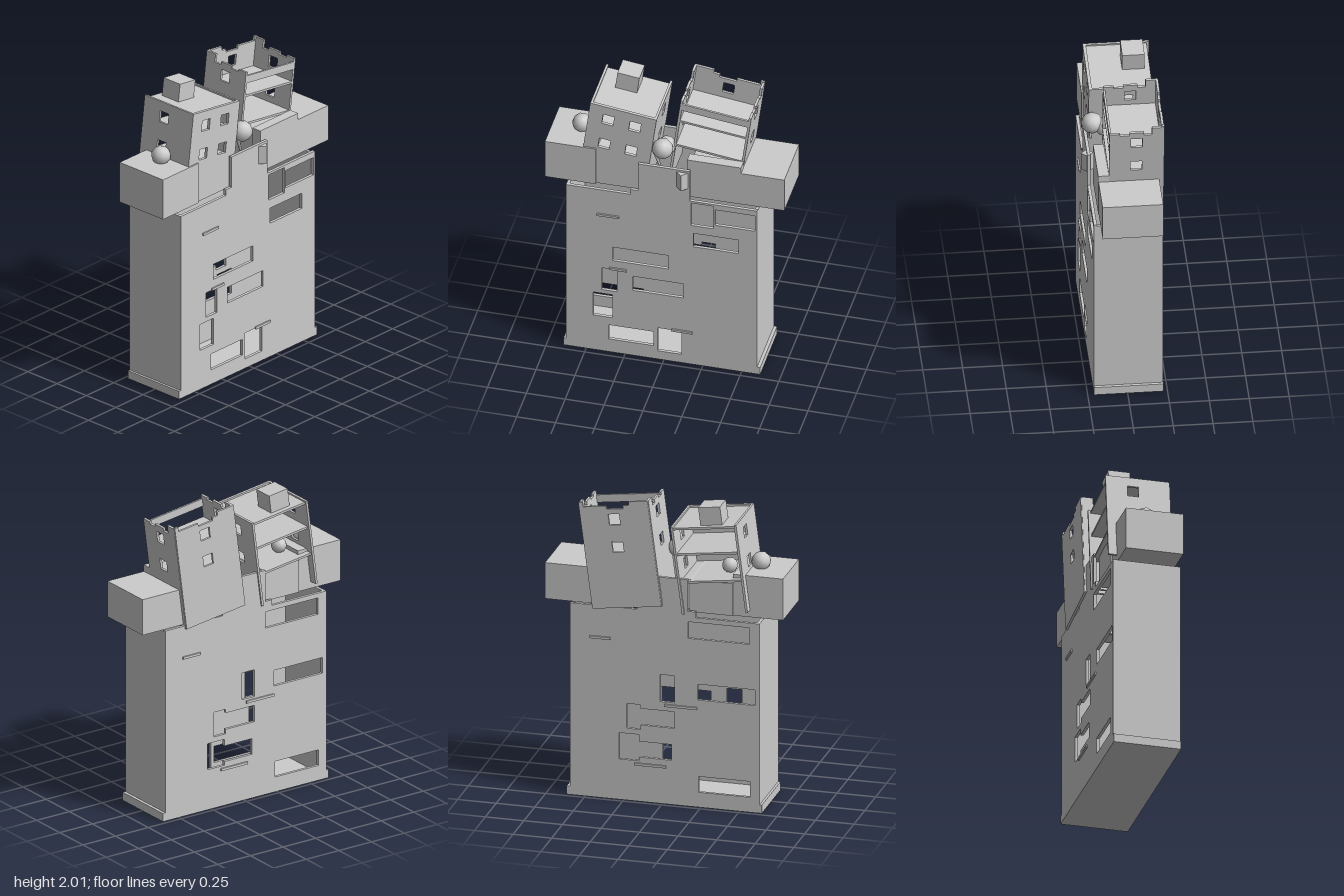
import * as THREE from 'three';

const stone = new THREE.MeshStandardMaterial({ color: 0xcccccc, side: THREE.DoubleSide });
stone.name = 'pale stone';

function add(parent, name, geometry, x = 0, y = 0, z = 0) {
  const mesh = new THREE.Mesh(geometry, stone);
  mesh.name = name;
  mesh.position.set(x, y, z);
  parent.add(mesh);
  return mesh;
}

// Box given by its extents
function block(parent, name, x0, x1, y0, y1, z0, z1) {
  return add(parent, name, new THREE.BoxGeometry(x1 - x0, y1 - y0, z1 - z0),
    (x0 + x1) / 2, (y0 + y1) / 2, (z0 + z1) / 2);
}

const points = (list) => list.map(([x, y]) => new THREE.Vector2(x, y));
const rect = ([x0, x1, y0, y1]) => [[x0, y0], [x1, y0], [x1, y1], [x0, y1]];

// Flat wall from an outline with openings, from z to z + thickness
function wall(parent, name, outline, holes, z, thickness) {
  const shape = new THREE.Shape(points(outline));
  for (const hole of holes) shape.holes.push(new THREE.Path(points(hole)));
  const geometry = new THREE.ExtrudeGeometry(shape, { depth: thickness, bevelEnabled: false });
  return add(parent, name, geometry, 0, 0, z);
}

// Side wall: drawn in (z, y), then turned to face sideways at x
function sideWall(parent, name, outline, holes, x, thickness) {
  const mesh = wall(parent, name, outline.map(([z, y]) => [-z, y]),
    holes.map((h) => h.map(([z, y]) => [-z, y])), 0, thickness);
  mesh.rotation.y = Math.PI / 2;
  mesh.position.set(x, 0, 0);
  return mesh;
}

const windowAt = (u, v, s = 0.036) => rect([u - s, u + s, v - s, v + s]);

function buildBody(model) {
  const body = new THREE.Group();
  body.name = 'body';
  model.add(body);

  // Front and back faces rise into a central gate
  const outline = [[-0.63, 0], [0.6, 0], [0.6, 1.28], [0.165, 1.28], [0.165, 1.51],
    [-0.165, 1.51], [-0.165, 1.3], [-0.215, 1.3], [-0.215, 1.262], [-0.63, 1.262]];
  const frontHoles = [
    [-0.33, 0.03, 0.72, 0.825], [-0.2, 0.125, 0.51, 0.62], [-0.355, -0.065, 0.1, 0.21],
    [-0.04, 0.115, 0.065, 0.245], [-0.4, -0.3, 0.48, 0.65], [-0.455, -0.33, 0.27, 0.45],
    [0.19, 0.48, 0.925, 1.03], [0.175, 0.32, 1.09, 1.265], [0.33, 0.585, 1.12, 1.24],
  ].map(rect);
  const backHoles = [
    [-0.565, -0.166, 1.12, 1.23], [-0.6, -0.23, 0.715, 0.82], [-0.57, -0.235, 0.1, 0.205],
    [-0.08, 0.015, 0.68, 0.86],
  ].map(rect);
  backHoles.push([[-0.08, 0.51], [0.14, 0.51], [0.14, 0.48], [0.23, 0.48], [0.23, 0.645],
    [0.14, 0.645], [0.14, 0.62], [-0.08, 0.62]]);
  backHoles.push([[-0.06, 0.295], [0.15, 0.295], [0.15, 0.27], [0.28, 0.27], [0.28, 0.445],
    [0.15, 0.445], [0.15, 0.4], [-0.06, 0.4]]);
  wall(body, 'front face', outline, frontHoles, 0.19, 0.02);
  wall(body, 'back face', outline, backHoles, -0.225, 0.02);

  block(body, 'left side', 0.58, 0.6, 0, 1.27, -0.205, 0.19);
  block(body, 'right side', -0.63, -0.61, 0, 1.262, -0.205, 0.19);
  block(body, 'floor', -0.61, 0.58, 0, 0.02, -0.205, 0.19);
  block(body, 'left plinth', 0.6, 0.62, 0, 0.055, -0.225, 0.21);
  block(body, 'right plinth', -0.645, -0.63, 0, 0.055, -0.225, 0.21);

  // Thin ledges
  for (const [x0, x1, y] of [[-0.43, -0.29, 1.06], [-0.35, -0.24, 0.65], [0.05, 0.185, 0.24]])
    block(body, 'front ledge', x0, x1, y, y + 0.016, 0.21, 0.22);
  for (const [x0, x1, y] of [[0.335, 0.47, 1.06], [-0.225, -0.015, 0.65], [-0.025, 0.18, 0.24]])
    block(body, 'back ledge', x0, x1, y, y + 0.016, -0.235, -0.225);
}

function buildTower(model, name, x, y) {
  const tower = new THREE.Group();
  tower.name = name;
  tower.position.set(x, y, 0);
  tower.rotation.z = -0.13;
  model.add(tower);
  return tower;
}

function buildRoofedTower(model) {
  const t = buildTower(model, 'roofed tower', -0.343, 1.305);
  const windows = [-0.087, 0.087].flatMap((u) => [0.29, 0.482].map((v) => windowAt(u, v)));
  wall(t, 'front wall', rect([-0.215, 0.215, 0, 0.58]), windows, 0.16, 0.02);
  for (const x of [-0.215, 0.2])
    sideWall(t, 'side wall', rect([-0.235, 0.16, 0, 0.58]),
      [windowAt(-0.06, 0.29), windowAt(-0.06, 0.482)], x, 0.015);
  for (const v of [0.2, 0.385, 0.555])
    block(t, v > 0.5 ? 'roof' : 'storey floor', -0.2, 0.2, v, v + 0.014, -0.22, 0.16);
  block(t, 'chimney', -0.109, 0.033, 0.565, 0.688, -0.185, -0.045);
}

function buildOpenTower(model) {
  const t = buildTower(model, 'open tower', 0.225, 1.29);
  const back = [[-0.225, 0], [0.225, 0], [0.225, 0.705], [0.2, 0.705], [0.2, 0.675], [0.05, 0.675],
    [0.05, 0.655], [-0.06, 0.655], [-0.06, 0.675], [-0.1, 0.675], [-0.1, 0.7], [-0.225, 0.7]];
  wall(t, 'back wall', back, [windowAt(0.007, 0.404), windowAt(0.007, 0.585)], -0.24, 0.016);
  const side = [[-0.235, 0], [0.105, 0], [0.105, 0.66], [0.04, 0.66], [0.04, 0.645], [-0.02, 0.645],
    [-0.02, 0.665], [-0.11, 0.665], [-0.11, 0.645], [-0.16, 0.645], [-0.16, 0.7], [-0.235, 0.7]];
  for (const x of [-0.23, 0.212])
    sideWall(t, 'side wall', side, [windowAt(-0.065, 0.39), windowAt(-0.065, 0.58)], x, 0.016);
  for (const v of [0.3, 0.492])
    block(t, 'storey floor', -0.215, 0.212, v, v + 0.014, -0.225, 0.105);
  block(t, 'front beam', -0.215, 0.212, 0.585, 0.635, 0.092, 0.105);
}

export function createModel() {
  const model = new THREE.Group();
  model.name = 'castle';
  buildBody(model);

  // Heavy blocks under the towers
  block(model, 'right end block', -0.77, -0.445, 1.285, 1.56, -0.18, 0.19);
  block(model, 'right inner block', -0.445, -0.165, 1.285, 1.5, -0.19, 0.175);
  block(model, 'left end block', 0.155, 0.765, 1.285, 1.525, -0.21, 0.17);
  block(model, 'left inner block', 0.14, 0.487, 1.285, 1.57, 0.105, 0.172);

  buildRoofedTower(model);
  buildOpenTower(model);

  // Wedge-shaped lamp on the gate
  const lamp = add(model, 'gate lamp', new THREE.BoxGeometry(0.055, 0.12, 0.055), 0.118, 1.435, 0.207);
  lamp.rotation.y = Math.PI / 4;

  // Faceted bushes
  for (const [x, y, z, r] of [[-0.02, 1.625, 0.165, 0.068], [-0.01, 1.6, 0.09, 0.06],
    [-0.58, 1.6, -0.005, 0.062], [-0.39, 1.57, -0.05, 0.05]]) {
    const bush = new THREE.IcosahedronGeometry(r, 1);
    add(model, 'bush', bush, x, y, z);
  }
  const stem = add(model, 'bush stem', new THREE.CylinderGeometry(0.012, 0.008, 0.09, 6), -0.05, 1.54, 0.17);
  stem.rotation.z = 0.3;
  return model;
}
